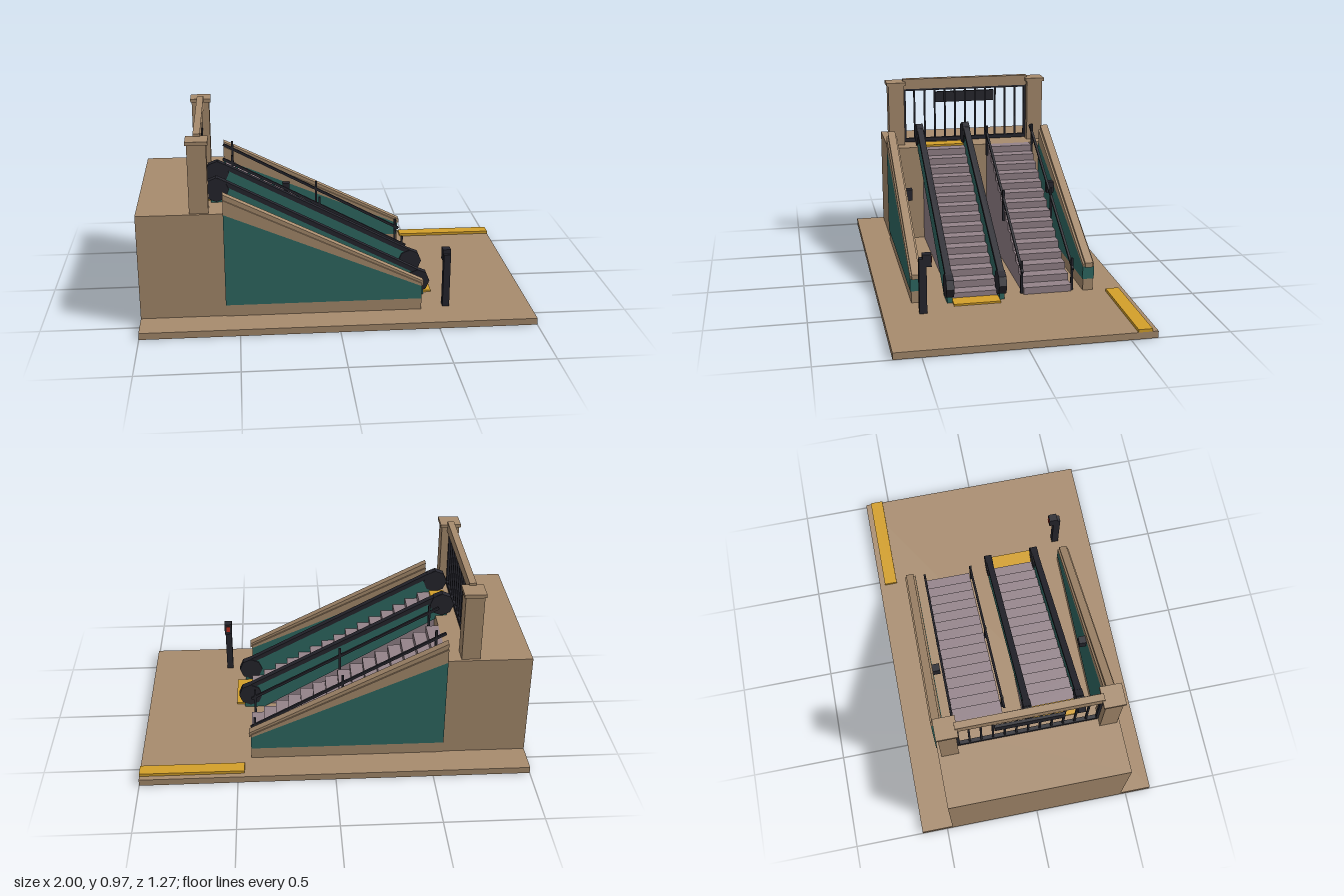
import * as THREE from 'three';

const mat = (color) => new THREE.MeshStandardMaterial({ color, flatShading: true });

export function createModel() {
  const model = new THREE.Group();
  const stone = mat(0xa88c6e), teal = mat(0x2f6a64), dark = mat(0x26262e);
  const tread = mat(0x94838a), yellow = mat(0xd4a02a), red = mat(0xc03020);

  const add = (name, geometry, material) => {
    const mesh = new THREE.Mesh(geometry, material);
    mesh.name = name;
    model.add(mesh);
    return mesh;
  };
  // Box given by its limits on each axis
  const box = (name, m, x0, x1, y0, y1, z0, z1) =>
    add(name, new THREE.BoxGeometry(x1 - x0, y1 - y0, z1 - z0), m)
      .position.set((x0 + x1) / 2, (y0 + y1) / 2, (z0 + z1) / 2);
  // Side profile (x, y) extruded from z0 to z1
  const slab = (name, m, points, z0, z1) => {
    const shape = new THREE.Shape(points.map(([x, y]) => new THREE.Vector2(x, y)));
    add(name, new THREE.ExtrudeGeometry(shape, { depth: z1 - z0, bevelEnabled: false }), m).position.z = z0;
  };
  // Straight square bar between two points in the x-y plane
  const bar = (name, m, [x0, y0], [x1, y1], z, height, width) => {
    const mesh = add(name, new THREE.BoxGeometry(Math.hypot(x1 - x0, y1 - y0), height, width), m);
    mesh.position.set((x0 + x1) / 2, (y0 + y1) / 2, z);
    mesh.rotation.z = Math.atan2(y1 - y0, x1 - x0);
  };

  const ground = 0.035, top = 0.587, xTop = -0.57, xEnd = 0.43;

  // Ground and upper platform
  box('base', stone, -1, 1, 0, ground, -0.635, 0.635);
  box('upperPlatform', stone, -1, xTop, ground, top, -0.47, 0.47);
  box('warningStrip', yellow, 0.465, 1, ground, 0.05, -0.605, -0.535);

  // Sloped side walls with copings, mirrored
  for (const side of [1, -1]) {
    const wall = (name, m, points, zIn, zOut) =>
      slab(name, m, points, side > 0 ? zIn : -zOut, side > 0 ? zOut : -zIn);
    wall('wallPlinth', stone, [[xTop, ground], [xEnd, ground], [xEnd, 0.097], [xTop, 0.097]], 0.422, 0.475);
    wall('wallPanel', teal, [[xTop, 0.097], [xEnd, 0.097], [xEnd, 0.165], [xTop, 0.585]], 0.42, 0.48);
    wall('wallCoping', stone, [[xTop, 0.585], [xEnd, 0.165], [xEnd, 0.18], [xTop, 0.66]], 0.42, 0.48);
    wall('copingCap', stone, [[xTop, 0.645], [0.44, 0.163], [0.44, 0.188], [xTop, 0.688]], 0.43, 0.472);
    const z = side * 0.402;
    box('wallBox', dark, -0.24, -0.2, 0.38, 0.443, z - 0.021, z + 0.021);
  }

  // Solid stepped flights
  const steps = 15, run = (xEnd - xTop) / steps, rise = (top - ground) / steps;
  const profile = [[xTop, ground], [xEnd, ground]];
  for (let i = 0; i < steps; i++) {
    const x = xEnd - i * run, y = ground + (i + 1) * rise;
    profile.push([x, y], [x - run, y]);
  }
  slab('escalatorSteps', tread, profile, 0.03, 0.27);
  slab('stairSteps', tread, profile, -0.36, -0.108);

  // Escalator landing plates
  box('upperLandingPlate', yellow, -0.65, xTop, top, 0.598, 0.03, 0.27);
  box('lowerLandingPlate', yellow, xEnd, 0.515, ground, 0.045, 0.03, 0.27);

  // Escalator balustrades, handrails and octagonal end drums
  for (const z of [0.015, 0.285]) {
    slab('balustradePanel', teal, [
      [-0.63, top - 0.02], [xTop, top - 0.02], [0.36, ground], [0.47, ground],
      [0.47, 0.1], [0.44, 0.165], [-0.6, 0.705], [-0.63, 0.68],
    ], z - 0.013, z + 0.013);
    bar('handrail', dark, [-0.6, 0.708], [0.44, 0.165], z, 0.024, 0.034);
    for (const [x, y] of [[-0.602, 0.655], [0.436, 0.116]]) {
      const drum = add('handrailEnd', new THREE.CylinderGeometry(0.064, 0.064, 0.04, 8), dark);
      drum.rotation.x = Math.PI / 2;
      drum.position.set(x, y, z);
    }
  }

  // Stair railings
  for (const z of [-0.1, -0.367]) {
    bar('stairRail', dark, [-0.57, 0.69], [0.43, 0.155], z, 0.014, 0.012);
    for (const x of [-0.52, -0.05, 0.41]) {
      const railY = 0.69 - (x - xTop) * 0.535;
      box('stairRailPost', dark, x - 0.006, x + 0.006, railY - 0.13, railY + 0.045, z - 0.006, z + 0.006);
    }
  }

  // Entrance portal: pillars, caps and beam
  for (const side of [1, -1]) {
    const z = side * 0.41;
    box('pillar', stone, -0.735, -0.64, top, 0.94, z - 0.045, z + 0.045);
    box('pillarCap', stone, -0.742, -0.632, 0.938, 0.957, z - 0.055, z + 0.055);
    box('fenceSide', dark, -0.697, -0.68, 0.595, 0.915, side * 0.358 - 0.007, side * 0.358 + 0.007);
  }
  box('portalBeam', stone, -0.705, -0.67, 0.912, 0.97, -0.367, 0.367);

  // Fence under the beam
  box('fenceTopRail', dark, -0.698, -0.678, 0.9, 0.915, -0.362, 0.362);
  box('fenceBottomRail', dark, -0.698, -0.678, 0.594, 0.615, -0.362, 0.362);
  for (let i = -5; i <= 5; i++) {
    const z = i * 0.06;
    box('fenceBar', dark, -0.693, -0.683, 0.6, 0.91, z - 0.005, z + 0.005);
  }
  box('signBoard', dark, -0.715, -0.7, 0.822, 0.884, -0.175, 0.175);

  // Ticket post with signal light
  box('ticketPost', dark, 0.545, 0.58, ground, 0.32, 0.415, 0.453);
  box('ticketReader', dark, 0.542, 0.583, 0.28, 0.343, 0.39, 0.435);
  box('signalLight', red, 0.552, 0.573, 0.298, 0.328, 0.386, 0.391);

  return model;
}
